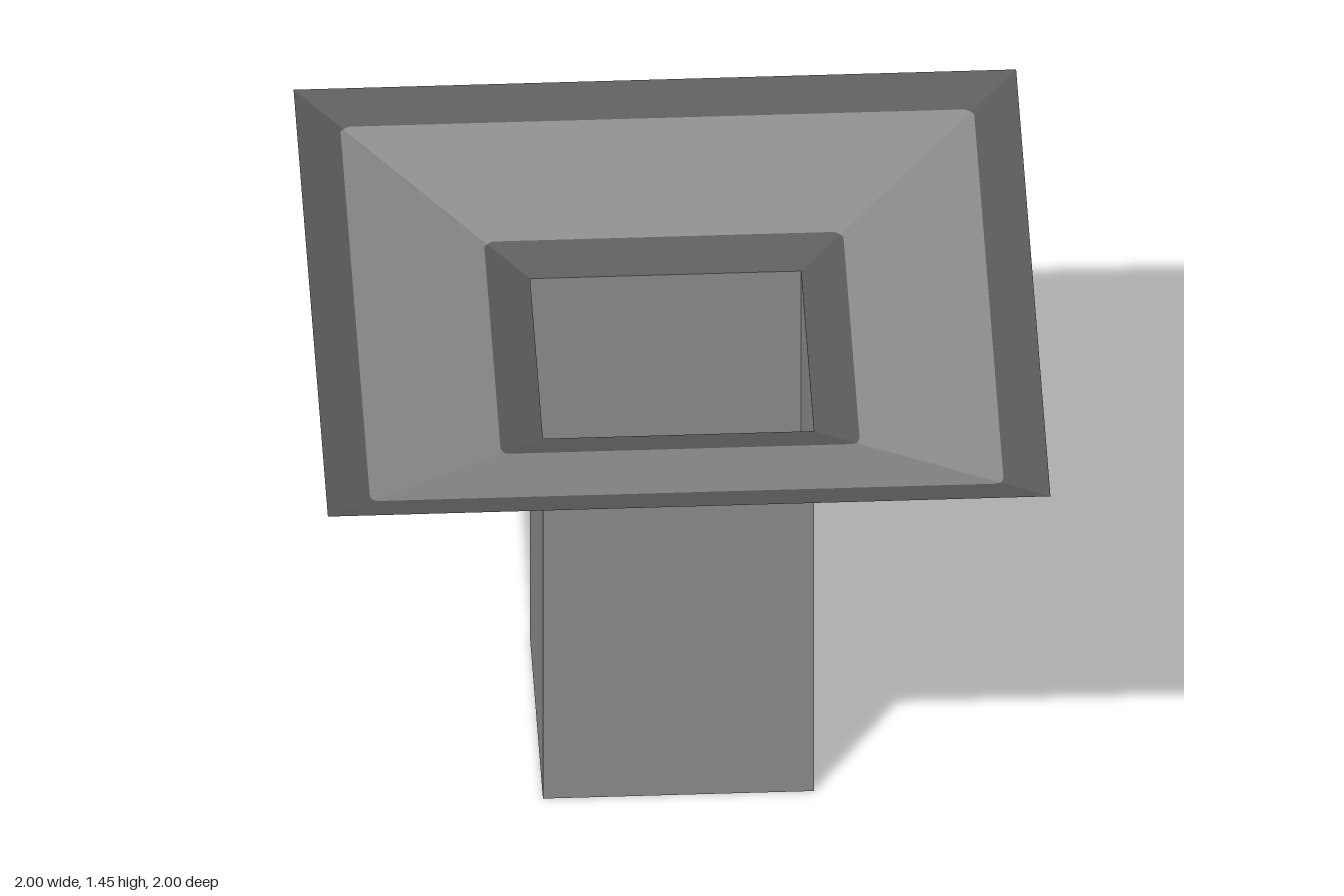
import * as THREE from 'three';
import { mergeGeometries } from 'three/addons/utils/BufferGeometryUtils.js';

const SHAFT = 0.375, SHAFT_TOP = 1.233, RIM = 1, RIM_TOP = 1.445;

// Top edge of a rounded square between its two diagonals, left to right
function edge(half, radius) {
  const c = half - radius, right = [];
  for (let i = 0; i <= 4; i++) {
    const a = Math.PI / 2 - (i / 4) * (Math.PI / 4);
    right.push(new THREE.Vector2(c + radius * Math.cos(a), c + radius * Math.sin(a)));
    if (radius === 0) break;
  }
  return [...right.map(p => new THREE.Vector2(-p.x, p.y)).reverse(), ...right];
}

// Sloping square ring made of four flat wedges
function slopedRing(inner, innerRadius, outer, outerRadius) {
  const wedges = [];
  for (let side = 0; side < 4; side++) {
    const shape = new THREE.Shape([...edge(inner, innerRadius), ...edge(outer, outerRadius).reverse()]);
    const g = new THREE.ShapeGeometry(shape).rotateX(-Math.PI / 2);
    const p = g.attributes.position;
    for (let i = 0; i < p.count; i++) {
      const t = (-p.getZ(i) - SHAFT) / (RIM - SHAFT);
      p.setY(i, SHAFT_TOP + t * (RIM_TOP - SHAFT_TOP));
    }
    g.computeVertexNormals();
    wedges.push(g.rotateY(side * Math.PI / 2));
  }
  return mergeGeometries(wedges);
}

export function createModel() {
  const model = new THREE.Group();
  model.name = 'flaredSquareFunnel';
  const lightGrey = new THREE.MeshStandardMaterial({ color: 0x8a8a8a, side: THREE.DoubleSide });
  lightGrey.name = 'lightGrey';
  const darkGrey = new THREE.MeshStandardMaterial({ color: 0x5a5a5a, side: THREE.DoubleSide });
  darkGrey.name = 'darkGrey';

  const add = (name, geometry, material) => {
    const mesh = new THREE.Mesh(geometry, material);
    mesh.name = name;
    model.add(mesh);
  };

  // Hollow square shaft: a box with its top face left out
  const shaft = new THREE.BoxGeometry(SHAFT * 2, SHAFT_TOP, SHAFT * 2).translate(0, SHAFT_TOP / 2, 0);
  shaft.setIndex([...shaft.index.array].filter((_, i) => i < 12 || i >= 18));
  shaft.clearGroups();
  add('shaft', shaft, lightGrey);

  // Flared collar: dark borders around a light, round-cornered band
  add('collarInnerBorder', slopedRing(SHAFT, 0, 0.497, 0.03), darkGrey);
  add('collarPanel', slopedRing(0.497, 0.03, 0.877, 0.03), lightGrey);
  add('collarOuterBorder', slopedRing(0.877, 0.03, RIM, 0), darkGrey);

  return model;
}
